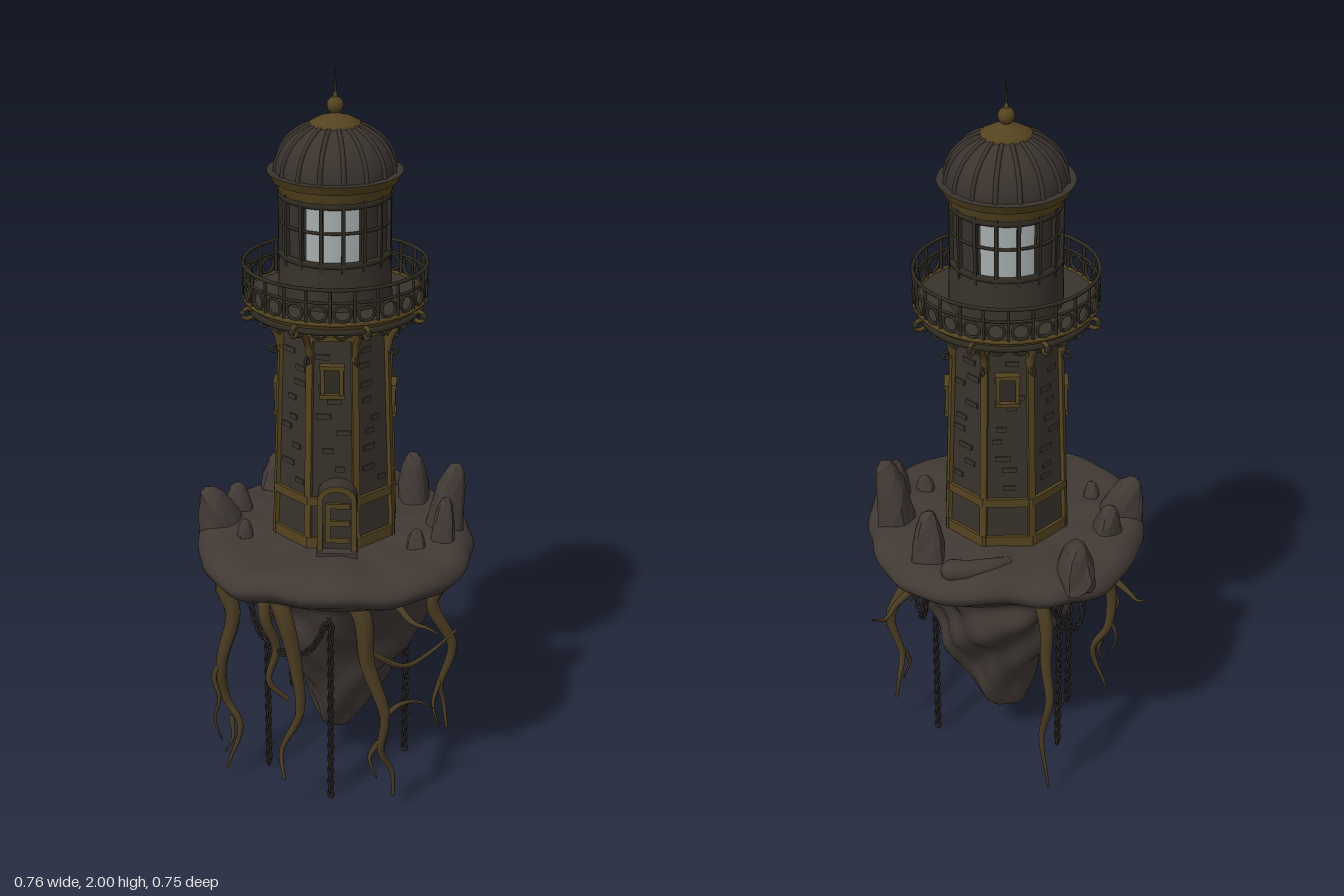
import * as THREE from 'three';
import { mergeVertices } from 'three/addons/utils/BufferGeometryUtils.js';

const V = (x, y, z) => new THREE.Vector3(x, y, z);
const mat = (name, color) => Object.assign(new THREE.MeshStandardMaterial({ color }), { name });
const M = {
  rock: mat('dark rock', 0x413934), stone: mat('tower stone', 0x39322b), brass: mat('aged brass', 0x54431f),
  iron: mat('dark iron', 0x2f2b22), roof: mat('roof metal', 0x3a332e), root: mat('root bark', 0x4a3b22),
  chain: mat('chain iron', 0x262321), glass: mat('smoky glass', 0x34322e), lamp: mat('pale lamp glass', 0xa6adad),
};

function add(parent, name, geo, material, x = 0, y = 0, z = 0) {
  const m = new THREE.Mesh(geo, material);
  m.name = name;
  m.position.set(x, y, z);
  parent.add(m);
  return m;
}
function group(parent, name) {
  const g = new THREE.Group();
  g.name = name;
  parent.add(g);
  return g;
}
// n copies turned about the y axis; each receives its own pivot
function around(parent, name, n, offset, build) {
  for (let i = 0; i < n; i++) {
    const g = group(parent, name);
    g.rotation.y = offset + (i / n) * Math.PI * 2;
    build(g, i);
  }
}
function seeded(s) {
  return () => { s = (s * 16807) % 2147483647; return s / 2147483647; };
}
function tube(points, r, r2 = r, seg = 20, sides = 7) {
  const c = new THREE.CatmullRomCurve3(points), g = new THREE.TubeGeometry(c, seg, r, sides);
  const p = g.attributes.position, v = V(0, 0, 0);
  for (let i = 0; i < p.count; i++) {
    const t = Math.floor(i / (sides + 1)) / seg, o = c.getPointAt(t);
    v.fromBufferAttribute(p, i).sub(o).multiplyScalar(1 + (r2 / r - 1) * t).add(o);
    p.setXYZ(i, v.x, v.y, v.z);
  }
  return g;
}
function reshape(geo, rule) {
  geo.deleteAttribute('uv');
  geo.deleteAttribute('normal');
  const g = mergeVertices(geo, 1e-5), p = g.attributes.position, v = V(0, 0, 0);
  for (let i = 0; i < p.count; i++) {
    rule(v.fromBufferAttribute(p, i));
    p.setXYZ(i, v.x, v.y, v.z);
  }
  g.computeVertexNormals();
  return g;
}
const hoop = (r, t, seg = 48, sides = 6) => new THREE.TorusGeometry(r, t, sides, seg).rotateX(Math.PI / 2);
function octagon(top, bottom, h) { // sizes are centre-to-face
  const g = new THREE.CylinderGeometry(top * 1.082, bottom * 1.082, h, 8).rotateY(Math.PI / 8).toNonIndexed();
  g.computeVertexNormals();
  return g;
}

function buildIsland(root) {
  const profile = [[0, .095], [.045, .115], [.08, .18], [.12, .28], [.16, .37], [.2, .46], [.235, .55], [.26, .605],
    [.32, .645], [.36, .67], [.374, .7], [.35, .733], [.3, .745], [.15, .745], [0, .745]];
  const pts = new THREE.SplineCurve(profile.map(p => new THREE.Vector2(...p))).getPoints(60);
  pts.forEach(p => { p.x = Math.max(0, p.x); });
  // rim radii every 20 degrees, from the front round by the left side
  const rim = [.372, .375, .388, .394, .383, .378, .388, .402, .385, .358, .39, .4, .388, .382, .375, .388, .398, .368];
  const rimAt = a => {
    const u = ((a / (Math.PI * 2) + 1) % 1) * rim.length, i = Math.floor(u) % rim.length;
    return THREE.MathUtils.lerp(rim[i], rim[(i + 1) % rim.length], THREE.MathUtils.smoothstep(u - Math.floor(u), 0, 1));
  };
  const geo = reshape(new THREE.LatheGeometry(pts, 90), v => {
    const a = Math.atan2(v.x, v.z), r = Math.hypot(v.x, v.z), y = v.y;
    const under = THREE.MathUtils.clamp((.66 - y) / .12, 0, 1);
    const edge = rimAt(a) / .374 - 1 + .006 * Math.sin(17 * a);
    const crag = .08 * Math.sin(3 * a + y * 9) + .07 * Math.sin(4 * a - y * 23 + 1) + .05 * Math.sin(7 * a) * Math.sin(y * 31 + 2 * a);
    const k = 1 + edge * (1 - under) + crag * under;
    const s = Math.sin(Math.PI * THREE.MathUtils.clamp((y - .1) / .55, 0, 1));
    v.x = v.x * k + .025 * s;
    v.z = v.z * k - .02 * s - .03 * THREE.MathUtils.clamp((.3 - y) / .2, 0, 1);
    if (r > .2 && under === 0) v.y += .006 * Math.sin(4 * a + 2) + .004 * Math.sin(11 * a);
  });
  add(root, 'floatingIsland', geo, M.rock);

  // standing stones: x, z, width, depth, top, lean
  const blunt = c => Math.sign(c) * Math.abs(c) ** .8;
  [[.3, -.025, .056, .06, .93, .13], [.295, .07, .036, .046, .87, .05], [.215, -.205, .048, .056, .88, -.05],
    [-.18, -.29, .052, .076, .83, .03], [-.31, -.005, .06, .054, .85, -.25], [-.275, -.1, .042, .045, .82, 0],
    [-.24, .07, .025, .03, .79, 0], [.225, .11, .032, .032, .79, 0]].forEach(([x, z, w, d, top, lean], i) => {
    const h = top - .72;
    const g = reshape(new THREE.IcosahedronGeometry(1, 2), v => {
      const k = 1 + .1 * Math.sin(v.x * 4 + i * 2) * Math.cos(v.z * 3 + i) + .08 * Math.sin(v.y * 5 + v.x * 3 + i);
      const y = Math.max(v.y, -.1), taper = 1 - .18 * Math.max(0, y);
      v.set(blunt(v.x) * k * w * taper + lean * Math.max(0, y) * h, y * h, blunt(v.z) * k * d * taper);
    }).toNonIndexed();
    g.computeVertexNormals();
    add(root, 'standingStone', g, M.rock, x, .72, z);
  });
  add(root, 'rockRidge', tube([V(0, .74, -.25), V(.05, .75, -.28), V(.11, .75, -.295), V(.15, .75, -.295)], .018, .03, 16, 10), M.rock);
  add(root, 'rockRidgeEnd', new THREE.SphereGeometry(.03, 12, 8), M.rock, .15, .75, -.295);
}

function buildRoots(root) {
  const g = group(root, 'hangingRoots');
  const r = (a, b, ...p) => add(g, 'root', tube(p.map(q => V(...q)), a, b, 28), M.root);
  // main roots
  r(.028, .004, [-.27, .68, .09], [-.3, .6, .1], [-.275, .52, .11], [-.31, .36, .12], [-.3, .25, .11], [-.26, .17, .12], [-.3, .03, .12]);
  r(.03, .004, [.06, .68, .27], [.09, .6, .29], [.1, .48, .29], [.15, .32, .3], [.14, .2, .29], [.17, .13, .27], [.175, .05, .27]);
  r(.028, .004, [-.15, .68, .25], [-.12, .6, .28], [-.09, .46, .29], [-.08, .32, .3], [-.13, .2, .3], [-.12, .13, .33]);
  r(.026, .004, [.27, .68, 0], [.3, .6, .01], [.27, .52, .02], [.33, .38, .01], [.3, .25, 0], [.31, .18, -.02], [.32, .1, -.01]);
  r(.022, .003, [-.08, .66, -.28], [-.1, .58, -.31], [-.1, .46, -.33], [-.11, .35, -.35], [-.09, .22, -.34], [-.11, .05, -.355]);
  r(.02, .006, [-.18, .66, .15], [-.18, .56, .2], [-.15, .46, .19], [-.17, .36, .2], [-.12, .3, .19]);
  // thin offshoots
  r(.009, .002, [-.305, .38, .12], [-.33, .33, .13], [-.315, .27, .14], [-.33, .19, .13], [-.31, .13, .14]);
  r(.008, .002, [-.285, .2, .12], [-.28, .14, .14], [-.3, .1, .15]);
  r(.009, .002, [.15, .32, .3], [.19, .34, .27], [.24, .32, .22], [.28, .29, .2]);
  r(.008, .002, [.3, .27, 0], [.28, .2, .03], [.3, .13, .04]);
  r(.009, .002, [.14, .24, .29], [.11, .19, .3], [.13, .13, .31]);
  r(.01, .003, [.1, .5, .27], [.2, .42, .2], [.27, .42, .12], [.34, .47, .08]);
  // side twigs
  r(.012, .002, [-.28, .63, -.16], [-.33, .6, -.2], [-.35, .6, -.235], [-.375, .61, -.25]);
  r(.014, .002, [.24, .64, -.2], [.3, .61, -.25], [.33, .59, -.29], [.365, .61, -.32]);
  r(.013, .002, [.17, .64, .24], [.22, .6, .285], [.26, .59, .295], [.29, .58, .31]);
}

function buildChains(root) {
  const link = new THREE.TorusGeometry(.009, .0042, 5, 8).scale(.9, 1.35, 1);
  const chain = pts => {
    const g = group(root, 'chain'), c = new THREE.CatmullRomCurve3(pts.map(p => V(...p)));
    const n = Math.round(c.getLength() / .019);
    for (let i = 0; i <= n; i++) {
      const m = add(g, 'chainLink', link, M.chain);
      m.position.copy(c.getPointAt(i / n));
      m.quaternion.setFromUnitVectors(V(0, 1, 0), c.getTangentAt(i / n));
      m.rotateY((i % 2) * Math.PI / 2 + .4);
    }
  };
  [[-.185, .07, .022], [-.14, -.23, .11], [0, .22, .017], [.2, -.035, .017]].forEach(([x, z, y]) =>
    chain([[x, .62, z], [x, .35, z], [x, y, z]]));
  // draped lengths under the rim
  chain([[-.24, .62, .08], [-.2, .5, .16], [-.13, .45, .2], [-.06, .47, .22], [0, .58, .22]]);
  chain([[.27, .62, .04], [.26, .5, -.02], [.24, .45, -.08], [.23, .5, -.14], [.22, .62, -.18]]);
  chain([[-.1, .62, -.24], [-.16, .48, -.19], [-.2, .44, -.12], [-.22, .5, -.05], [-.24, .62, 0]]);
}

function buildShaft(t) {
  const face = y => .157 - .033 * (y - .74); // centre-to-face size at height y
  add(t, 'towerShaft', octagon(face(1.39), face(.73), .66), M.stone, 0, 1.06, 0);
  [[.755, .04, .008], [.88, .024, .009], [1.335, .012, .008], [1.37, .02, .016]].forEach(([y, h, out]) =>
    add(t, 'towerBand', octagon(face(y) + out, face(y) + out, h), M.brass, 0, y, 0));
  around(t, 'cornerTrim', 8, Math.PI / 8, g => {
    const m = add(g, 'cornerStrip', new THREE.BoxGeometry(.018, .63, .014), M.brass, 0, 1.06, face(1.06) * 1.08);
    m.rotation.x = -.036;
  });
  // raised masonry blocks
  const rnd = seeded(77);
  around(t, 'masonry', 8, 0, g => {
    for (let i = 0; i < 9; i++) {
      const y = .92 + i * .045 + rnd() * .02;
      add(g, 'raisedBlock', new THREE.BoxGeometry(.025 + rnd() * .02, .014, .008), M.stone, (rnd() - .5) * .06, y, face(y));
    }
  });
  // windows on the four main sides
  around(t, 'towerWindow', 4, 0, (g, i) => {
    const y = i % 2 ? 1.12 : 1.22, z = face(y);
    add(g, 'windowPane', new THREE.BoxGeometry(.042, .07, .012), M.iron, 0, y, z);
    [-1, 1].forEach(s => {
      add(g, 'windowJamb', new THREE.BoxGeometry(.01, .084, .034), M.brass, s * .025, y, z);
      add(g, 'windowSill', new THREE.BoxGeometry(.064, .011, .04), M.brass, 0, y + s * .04, z);
    });
  });
  // arched porch with a strapped door
  const arch = (w, h) => {
    const s = new THREE.Shape();
    s.moveTo(-w, 0).lineTo(w, 0).lineTo(w, h).absellipse(0, h, w, w * .8, 0, Math.PI, false).lineTo(-w, 0);
    return s;
  };
  const door = group(t, 'door'), frame = arch(.052, .16);
  door.position.set(.015, .745, .145);
  frame.holes.push(arch(.038, .155));
  add(door, 'doorFrame', new THREE.ExtrudeGeometry(frame, { depth: .062, bevelEnabled: false }), [M.brass, M.stone]);
  add(door, 'doorPanel', new THREE.ExtrudeGeometry(arch(.039, .155), { depth: .046, bevelEnabled: false }), M.stone);
  [.04, .09, .14].forEach(y => add(door, 'hingeStrap', new THREE.BoxGeometry(.062, .014, .01), M.brass, .004, y, .049));
  add(door, 'hingePost', new THREE.BoxGeometry(.013, .114, .01), M.brass, -.024, .09, .049);
  add(door, 'doorStep', new THREE.BoxGeometry(.11, .02, .07), M.rock, 0, .003, .04);
}

function buildGallery(t) {
  add(t, 'galleryDeck', new THREE.CylinderGeometry(.232, .222, .022, 48), [M.brass, M.roof, M.brass], 0, 1.398, 0);
  add(t, 'galleryFootRail', hoop(.238, .006), M.brass, 0, 1.408, 0);
  add(t, 'galleryMidRail', hoop(.238, .004), M.iron, 0, 1.465, 0);
  add(t, 'galleryTopRail', hoop(.24, .005), M.iron, 0, 1.5, 0);
  add(t, 'deckTrim', hoop(.226, .008), M.iron, 0, 1.382, 0);
  around(t, 'railingBay', 24, 0, g => {
    add(g, 'railPost', new THREE.CylinderGeometry(.0045, .0045, .095, 6), M.iron, 0, 1.453, .238);
    const p = group(g, 'railRingPivot');
    p.rotation.y = Math.PI / 24;
    add(p, 'railRing', new THREE.TorusGeometry(.022, .0045, 5, 14), M.iron, 0, 1.437, .238);
    add(p, 'deckScallop', new THREE.TorusGeometry(.02, .004, 5, 8, Math.PI).rotateZ(Math.PI), M.iron, 0, 1.385, .226);
  });
  // curled brackets at the eight corners
  around(t, 'galleryBracket', 8, Math.PI / 8, g => {
    add(g, 'bracketArm', tube([V(0, 1.27, .152), V(0, 1.32, .163), V(0, 1.355, .19), V(0, 1.375, .232)], .009, .009), M.brass);
    add(g, 'bracketScroll', new THREE.TorusGeometry(.014, .006, 6, 12).rotateY(Math.PI / 2), M.brass, 0, 1.382, .24);
    add(g, 'bracketKnob', new THREE.SphereGeometry(.009, 10, 8), M.iron, 0, 1.385, .253);
    add(g, 'bracketHook', new THREE.TorusGeometry(.01, .004, 5, 10).rotateY(Math.PI / 2), M.iron, 0, 1.278, .17);
  });
}

function buildLantern(t) {
  add(t, 'lanternBase', new THREE.CylinderGeometry(.146, .15, .13, 32), M.stone, 0, 1.465, 0);
  // pale panes to front and back, smoky panes between
  for (let i = 0; i < 4; i++) {
    const pale = i % 2 === 0, len = pale ? 1 : Math.PI - 1;
    add(t, pale ? 'palePane' : 'smokyPane',
      new THREE.CylinderGeometry(.138, .138, .19, 10, 1, true, i * Math.PI / 2 - len / 2, len), pale ? M.lamp : M.glass, 0, 1.61, 0);
  }
  [[1.53, .009], [1.615, .004], [1.685, .009]].forEach(([y, w]) => add(t, 'lanternHoop', hoop(.141, w), M.iron, 0, y, 0));
  around(t, 'lanternFrame', 16, Math.PI / 16, g =>
    add(g, 'mullion', new THREE.BoxGeometry(.009, .2, .014), M.iron, 0, 1.61, .141));
  add(t, 'lanternCrown', new THREE.CylinderGeometry(.155, .146, .03, 32), M.brass, 0, 1.707, 0);
  add(t, 'cornice', new THREE.CylinderGeometry(.176, .163, .024, 48), [M.brass, M.roof, M.brass], 0, 1.733, 0);

  // ribbed dome
  const arc = [[.156, 1.742], [.152, 1.77], [.138, 1.803], [.114, 1.832], [.08, 1.855], [.04, 1.87], [0, 1.875]];
  add(t, 'dome', new THREE.LatheGeometry(new THREE.SplineCurve(arc.map(p => new THREE.Vector2(...p)).reverse()).getPoints(20)
    .reverse().map(p => new THREE.Vector2(Math.max(0, p.x), p.y)), 48), M.roof);
  around(t, 'domeRibs', 16, Math.PI / 16, g =>
    add(g, 'domeRib', tube(arc.slice(0, 6).map(([r, y]) => V(0, y, r)), .0065, .006, 12, 6), M.roof));
  add(t, 'domeCap', new THREE.LatheGeometry([[.066, 1.858], [.065, 1.868], [.042, 1.88], [.016, 1.887], [.008, 1.893], [0, 1.893]]
    .map(p => new THREE.Vector2(...p)), 32), M.brass);
  add(t, 'finialBall', new THREE.SphereGeometry(.022, 16, 12), M.brass, 0, 1.911, 0);
  add(t, 'finialCollar', new THREE.CylinderGeometry(.004, .008, .016, 10), M.brass, 0, 1.936, 0);
  add(t, 'finialSpike', new THREE.CylinderGeometry(.0015, .004, .06, 8), M.iron, 0, 1.97, 0);
}

export function createModel() {
  const root = new THREE.Group();
  root.name = 'floatingLighthouse';
  buildIsland(root);
  buildRoots(root);
  buildChains(root);
  const tower = group(root, 'tower');
  tower.position.z = -.015;
  buildShaft(tower);
  buildGallery(tower);
  buildLantern(tower);
  return root;
}
